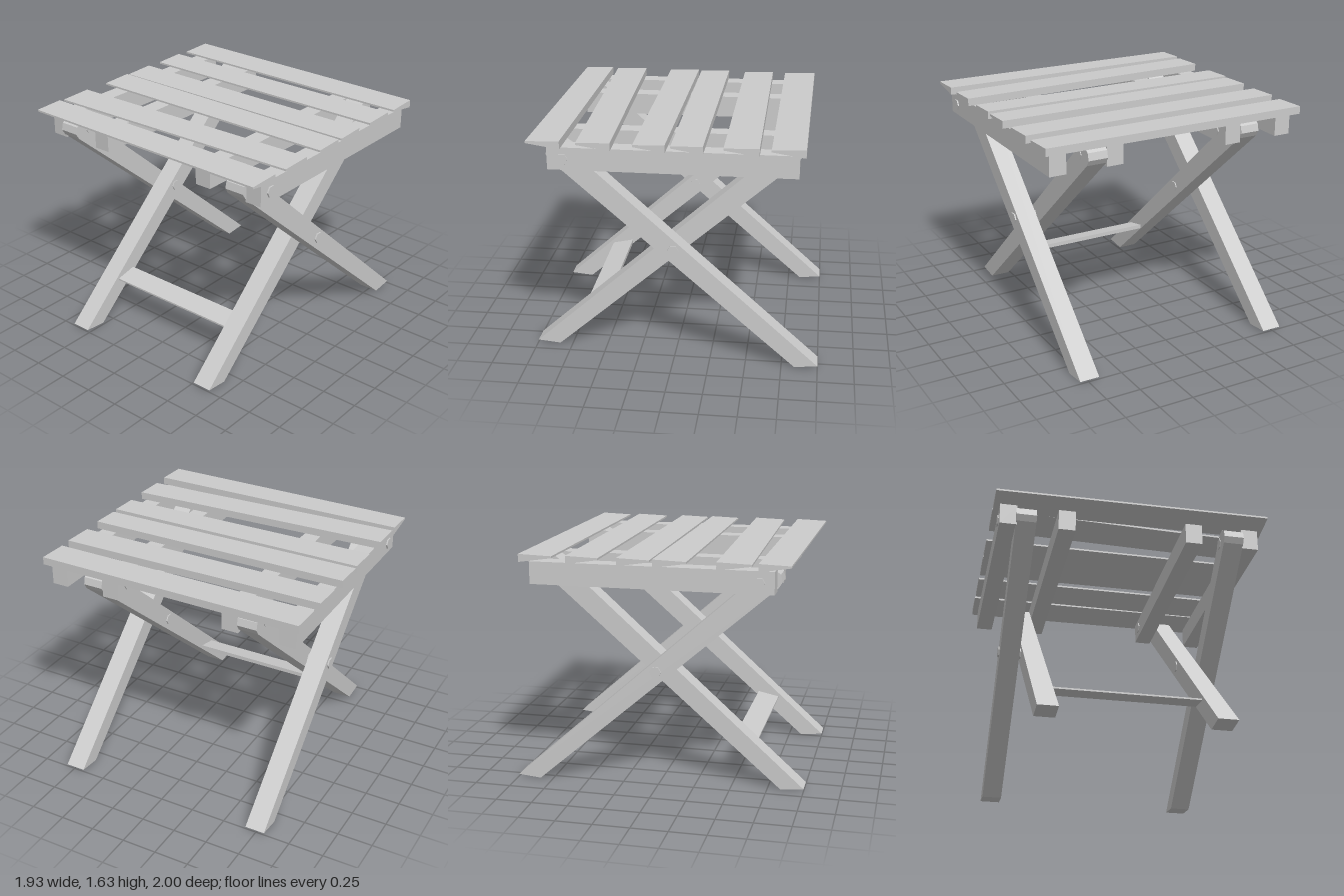
import * as THREE from 'three';

const material = new THREE.MeshStandardMaterial({ color: 0xcccccc, flatShading: true });

function add(parent, name, geometry) {
  const mesh = new THREE.Mesh(geometry, material);
  mesh.name = name;
  parent.add(mesh);
  return mesh;
}

function box(x0, x1, y0, y1, z0, z1) {
  return new THREE.BoxGeometry(x1 - x0, y1 - y0, z1 - z0)
    .translate((x0 + x1) / 2, (y0 + y1) / 2, (z0 + z1) / 2);
}

// Plank along x: each end has its own back and front z, and
// the back and front edges have their own [bottom, top] heights.
function plank(halfLength, left, right, backY, frontY) {
  const geometry = new THREE.BoxGeometry(1, 1, 1);
  const p = geometry.attributes.position;
  for (let i = 0; i < p.count; i++) {
    const end = p.getX(i) < 0 ? left : right;
    const front = p.getZ(i) > 0 ? 1 : 0;
    const heights = front ? frontY : backY;
    p.setXYZ(i, Math.sign(p.getX(i)) * halfLength, heights[p.getY(i) > 0 ? 1 : 0], end[front]);
  }
  geometry.computeVertexNormals();
  return geometry;
}

// Side outline of a leg as [z, y]: sloped foot, slight taper, rounded top
const legOutline = [
  [-0.84, 0], [-1, 0.015], [0.7, 1.537], [0.74, 1.565], [0.79, 1.565],
  [0.833, 1.535], [0.845, 1.485], [0.82, 1.445],
];

// flip = 1 leans the leg's top to the front, -1 to the back
function leg(x0, x1, flip) {
  const shape = new THREE.Shape(legOutline.map(([z, y]) => new THREE.Vector2(z * flip, y)));
  return new THREE.ExtrudeGeometry(shape, { depth: x1 - x0, bevelEnabled: false })
    .rotateY(-Math.PI / 2).translate(x1, 0, 0);
}

function mirrorSpan(side, a, b) {
  return side > 0 ? [a, b] : [-b, -a];
}

export function createModel() {
  const stool = new THREE.Group();
  stool.name = 'foldingStool';

  // Seat slats, slightly uneven: back and front z at the -x end, then at the +x end
  const seat = new THREE.Group();
  seat.name = 'seat';
  stool.add(seat);
  const slats = [
    [[-0.89, -0.66], [-0.87, -0.65]],
    [[-0.565, -0.345], [-0.575, -0.345]],
    [[-0.22, 0], [-0.215, -0.005]],
    [[0.02, 0.245], [0.03, 0.24]],
    [[0.44, 0.67], [0.385, 0.61]],
    [[0.71, 0.92], [0.715, 0.94]],
  ];
  slats.forEach(([l, r], i) =>
    add(seat, `slat${i + 1}`, plank(0.965, l, r, [1.573, 1.627], [1.607, 1.62])));

  for (const side of [-1, 1]) {
    const prefix = side > 0 ? 'left' : 'right';

    // Seat rails
    add(seat, `${prefix}OuterRail`, box(...mirrorSpan(side, 0.805, 0.925), 1.42, 1.573, -0.83, 0.81));
    add(seat, `${prefix}InnerRail`, box(...mirrorSpan(side, 0.395, 0.515), 1.42, 1.573, -0.83, 0.81));

    // Crossed legs
    add(stool, `${prefix}OuterLeg`, leg(...mirrorSpan(side, 0.67, 0.812), 1));
    add(stool, `${prefix}InnerLeg`, leg(...mirrorSpan(side, 0.515, 0.655), -1));

    // Bolts through the crossing and through the rails
    const bolts = [
      ['crossingBolt', 0.507, 0.822, 0.83, 0],
      ['outerRailBolt', 0.665, 0.935, 1.495, 0.71],
      ['innerRailBolt', 0.387, 0.66, 1.495, -0.71],
    ];
    for (const [name, a, b, y, z] of bolts) {
      const bolt = add(stool, `${prefix}_${name}`, new THREE.CylinderGeometry(0.04, 0.04, b - a, 6));
      bolt.rotation.z = Math.PI / 2;
      bolt.position.set(side * (a + b) / 2, y, z);
    }
  }

  // Stretcher between the inner legs
  add(stool, 'stretcher', plank(0.52, [0.5, 0.655], [0.5, 0.655], [0.3, 0.33], [0.285, 0.297]));

  return stool;
}
